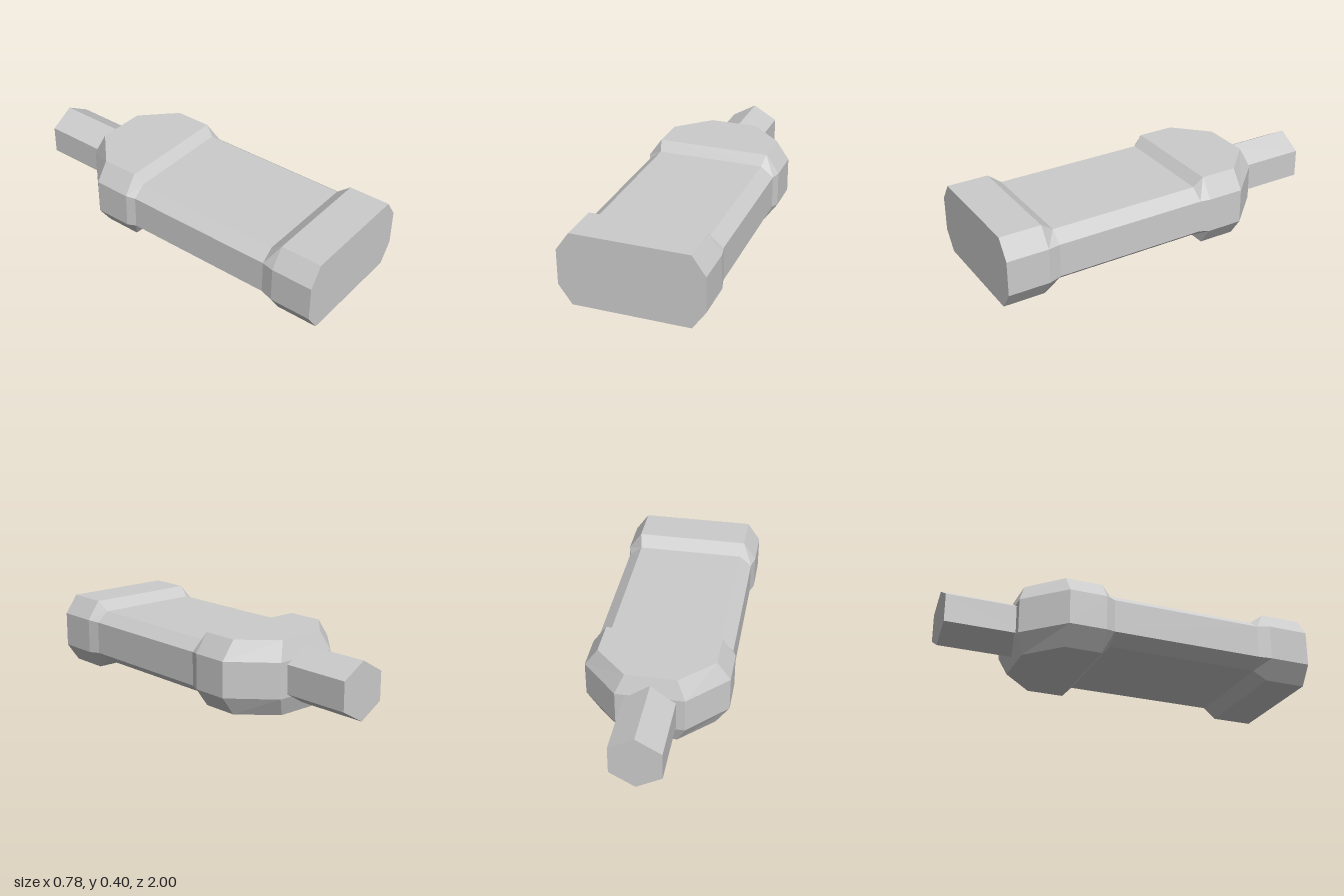
import * as THREE from 'three';

const MID = 0.2; // height of the centre line

// Chamfered-rectangle ring, counter-clockwise seen from the front.
// w, s: side edges (half width, half height); f, h: top and bottom edges;
// zFlat, zSide: depth of the top/bottom corners and of the side corners.
function ring({ w, s, f, h }, zFlat, zSide = zFlat) {
  return [
    [w, -s, zSide], [w, s, zSide], [f, h, zFlat], [-f, h, zFlat],
    [-w, s, zSide], [-w, -s, zSide], [-f, -h, zFlat], [f, -h, zFlat],
  ].map(([x, y, z]) => new THREE.Vector3(x, y + MID, z));
}

// Skin a list of rings from front to back and close both ends.
function loft(rings) {
  const pos = [];
  const quad = (a, b, c, d) => [a, b, c, a, c, d].forEach(p => pos.push(p.x, p.y, p.z));
  for (let r = 0; r < rings.length - 1; r++) {
    const a = rings[r], b = rings[r + 1];
    for (let i = 0; i < 8; i++) {
      const j = (i + 1) % 8;
      quad(a[i], b[i], b[j], a[j]);
    }
  }
  const first = rings[0], last = rings[rings.length - 1];
  for (const [a, b, c, d] of [[0, 1, 4, 5], [1, 2, 3, 4], [5, 6, 7, 0]]) {
    quad(first[a], first[b], first[c], first[d]);
    quad(last[d], last[c], last[b], last[a]);
  }
  const geo = new THREE.BufferGeometry();
  geo.setAttribute('position', new THREE.Float32BufferAttribute(pos, 3));
  geo.computeVertexNormals();
  return geo;
}

export function createModel() {
  const group = new THREE.Group();
  const material = new THREE.MeshStandardMaterial({ color: 0xcccccc, flatShading: true });
  const add = (name, geometry) => {
    const mesh = new THREE.Mesh(geometry, material);
    mesh.name = name;
    group.add(mesh);
    return mesh;
  };

  // Body: wide foot, narrow grip, wide shoulder, tapered and bevelled end
  const wide = { w: 0.388, s: 0.097, f: 0.315, h: 0.2 };
  const narrow = { w: 0.37, s: 0.092, f: 0.3, h: 0.148 };
  const tip = { w: 0.183, s: 0.097, f: 0.137, h: 0.2 };
  add('body', loft([
    ring(wide, 1), ring(wide, 0.77),
    ring(narrow, 0.7), ring(narrow, -0.15),
    ring(wide, -0.2), ring(wide, -0.405),
    ring(tip, -0.58, -0.617),
  ]));

  // Hexagonal neck with a corner pointing up, sunk into the body
  const neck = add('neck', new THREE.CylinderGeometry(0.157, 0.157, 0.45, 6).rotateX(Math.PI / 2));
  neck.position.set(0, MID, -0.775);

  return group;
}
